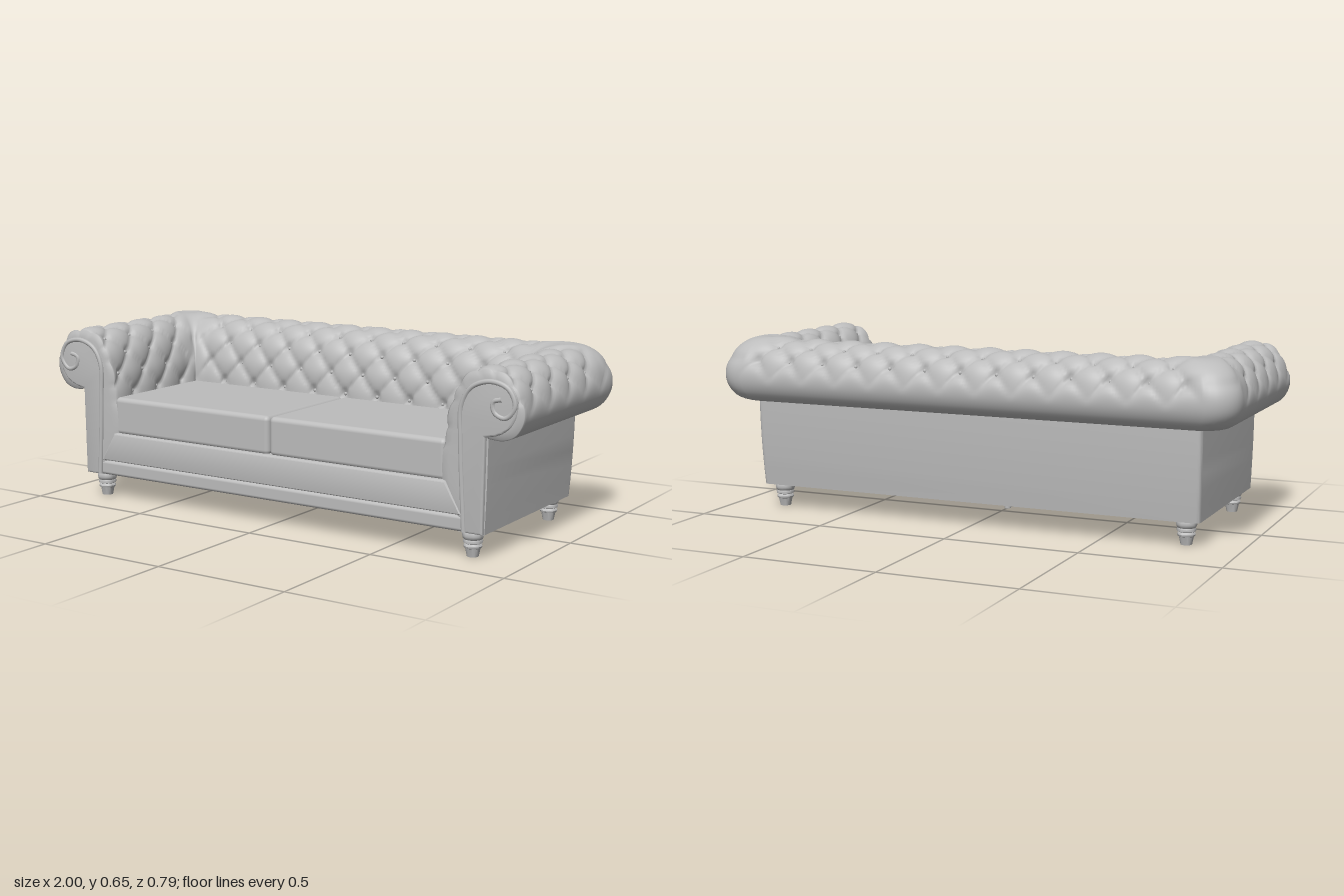
import * as THREE from 'three';
import { mergeGeometries, toCreasedNormals } from 'three/addons/utils/BufferGeometryUtils.js';
import { RoundedBoxGeometry } from 'three/addons/geometries/RoundedBoxGeometry.js';

const INNER_X = 0.7, INNER_Z = -0.1, FRONT_Z = 0.372; // inside edges of the U-shaped upholstery
const STEP = 0.07, ROW = 0.08; // tufting lattice
const { smoothstep, lerp } = THREE.MathUtils;

// Cross-section of arm and back: x = distance outward, y = height
const profile = new THREE.CatmullRomCurve3([
  [0.06, 0.14], [0.0, 0.25], [0.0, 0.40], [0.015, 0.5], [0.05, 0.59], [0.1, 0.64], [0.16, 0.655],
  [0.22, 0.645], [0.27, 0.605], [0.298, 0.54], [0.294, 0.475], [0.265, 0.43], [0.22, 0.412], [0.165, 0.415],
].map(([d, y]) => new THREE.Vector3(d, y, 0)), false, 'centripetal');
const LENGTH = profile.getLength(), START = 0.285;

// Depth of the quilting at lattice coordinates s (along) and t (across)
function tuftDip(s, t) {
  const a = (s + t) / 2, b = (s - t) / 2;
  const sa = Math.abs(Math.sin(Math.PI * a)), sb = Math.abs(Math.sin(Math.PI * b));
  const da = a - Math.round(a), db = b - Math.round(b);
  const fade = smoothstep(t, -1, 0) * (1 - smoothstep(t, 6, 7.2));
  return fade * (0.004 + 0.016 * (1 - Math.sqrt(sa * sb)) + 0.012 * Math.exp(-(da * da + db * db) * 50));
}

// Point on the U-shaped plan, for segment 0..4 (arm, corner, back, corner, arm)
function plan(seg, f, d) {
  const r = Math.max(0, d) / 3, cx = INNER_X + d - r, cz = INNER_Z - d + r;
  if (seg > 2) {
    const p = plan(4 - seg, 1 - f, d);
    return { ...p, x: -p.x };
  }
  if (seg === 0) {
    const z = lerp(FRONT_Z, cz, f);
    return { x: INNER_X + d, z, s: (0.26 - z) / STEP, gap: z - cz };
  }
  if (seg === 1) {
    const a = f * Math.PI / 2;
    return { x: cx + r * Math.cos(a), z: cz - r * Math.sin(a), s: 0, gap: 0 };
  }
  const x = lerp(cx, -cx, f);
  return { x, z: INNER_Z - d, s: x / STEP, gap: cx - Math.abs(x) };
}

function tuftedUpholstery() {
  const rows = [];
  const caps = [[0.95, 0.012], [0.6, 0.012], [0.25, 0.01], [0.1, 0.006], [0.03, 0]];
  caps.forEach(([k, dz]) => rows.push({ seg: 0, f: 0, k, dz }));
  [52, 8, 190, 8, 52].forEach((n, seg) => {
    for (let i = seg ? 1 : 0; i <= n; i++) rows.push({ seg, f: i / n, k: 0, dz: 0 });
  });
  [...caps].reverse().forEach(([k, dz]) => rows.push({ seg: 4, f: 1, k, dz }));

  const N = 84, pos = [], index = [];
  const section = Array.from({ length: N + 1 }, (_, j) => {
    const p = profile.getPointAt(j / N), q = profile.getTangentAt(j / N);
    return { d: p.x, y: p.y, nd: -q.y, ny: q.x, t: (j / N * LENGTH - START) / ROW };
  });
  rows.forEach(({ seg, f, k, dz }, i) => section.forEach(({ d, y, nd, ny, t }, j) => {
    const g = plan(seg, f, d);
    const dip = tuftDip(g.s, t) * lerp(0.15, 1, smoothstep(g.gap, 0, 0.07));
    let dd = d - nd * dip, yy = y - ny * dip;
    // the front ends close in towards a spine
    dd = lerp(dd, d < 0.1 ? 0.13 : 0.2, k);
    yy = lerp(yy, d < 0.1 ? Math.min(y, 0.53) : 0.53, k);
    const p = plan(seg, f, dd);
    pos.push(p.x, yy, p.z + dz);
    if (i < rows.length - 1 && j < N) {
      const a = i * (N + 1) + j, c = a + N + 1;
      index.push(a, a + 1, c, a + 1, c + 1, c);
    }
  }));
  const geo = new THREE.BufferGeometry();
  geo.setAttribute('position', new THREE.Float32BufferAttribute(pos, 3));
  geo.setIndex(index);
  geo.computeVertexNormals();
  return geo;
}

// Buttons in the hollows of the tufting
function tuftButtons() {
  const list = [];
  const ball = (x, y, z) => list.push(new THREE.SphereGeometry(0.007, 8, 6).translate(x, y, z));
  for (let t = 0; t <= 6; t++) {
    const u = (START + t * ROW) / LENGTH;
    const p = profile.getPointAt(u), q = profile.getTangentAt(u);
    const d = p.x + q.y * 0.028, y = p.y - q.x * 0.028;
    for (let s = -14; s <= 14; s++) {
      if ((s + t) % 2) continue;
      if (Math.abs(s * STEP) < INNER_X + d * 0.67 - 0.05) ball(s * STEP, y, INNER_Z - d);
      const z = 0.26 - s * STEP;
      if (z < 0.35 && z > INNER_Z - d * 0.67 + 0.05)
        for (const side of [-1, 1]) ball(side * (INNER_X + d), y, z);
    }
  }
  return mergeGeometries(list);
}

// Outer walls: a U in plan, narrowing slightly towards the floor
function outerShell() {
  const shape = new THREE.Shape();
  const r = 0.02, X = 0.868, B = 0.316;
  shape.moveTo(-X, -0.37);
  shape.lineTo(-0.76, -0.37);
  shape.lineTo(-0.76, 0.16);
  shape.lineTo(0.76, 0.16);
  shape.lineTo(0.76, -0.37);
  shape.lineTo(X, -0.37);
  shape.lineTo(X, B - r);
  shape.quadraticCurveTo(X, B, X - r, B);
  shape.lineTo(-X + r, B);
  shape.quadraticCurveTo(-X, B, -X, B - r);
  const geo = new THREE.ExtrudeGeometry(shape, { depth: 0.34, steps: 6, bevelEnabled: false, curveSegments: 5 });
  geo.rotateX(-Math.PI / 2).translate(0, 0.09, 0);
  const p = geo.attributes.position;
  for (let i = 0; i < p.count; i++) {
    const k = ((0.43 - p.getY(i)) / 0.34) ** 2;
    if (p.getZ(i) < -0.25) p.setZ(i, p.getZ(i) + 0.018 * k);
    if (Math.abs(p.getX(i)) > 0.8) p.setX(i, p.getX(i) - Math.sign(p.getX(i)) * 0.008 * k);
  }
  return toCreasedNormals(geo, 0.6);
}

// Cane-shaped facing on the front of the arm
function armFacing() {
  const s = new THREE.Shape();
  s.moveTo(0.792, 0.092);
  s.lineTo(0.858, 0.092);
  s.lineTo(0.862, 0.42);
  s.bezierCurveTo(0.9, 0.425, 0.975, 0.44, 0.978, 0.53);
  s.bezierCurveTo(0.975, 0.6, 0.92, 0.612, 0.88, 0.61);
  s.bezierCurveTo(0.8, 0.605, 0.765, 0.55, 0.77, 0.45);
  s.lineTo(0.792, 0.092);
  const geo = new THREE.ExtrudeGeometry(s, {
    depth: 0.02, bevelThickness: 0.007, bevelSize: 0.007, bevelOffset: -0.007, bevelSegments: 3, curveSegments: 14,
  });
  return toCreasedNormals(geo.translate(0, 0, 0.36), 0.6);
}

function scrollPiping() {
  const pts = [[0.79, 0.095], [0.774, 0.4], [0.775, 0.52], [0.81, 0.58], [0.88, 0.605], [0.945, 0.585],
    [0.968, 0.53], [0.935, 0.49], [0.895, 0.505], [0.89, 0.54], [0.92, 0.55]];
  const path = new THREE.CatmullRomCurve3(pts.map(([x, y]) => new THREE.Vector3(x, y, 0.384)));
  return new THREE.TubeGeometry(path, 80, 0.009, 8);
}

function turnedLeg() {
  const pts = [[0, 0.003], [0.02, 0.003], [0.026, 0.032], [0.03, 0.034], [0.032, 0.04], [0.029, 0.046], [0.027, 0.048],
    [0.033, 0.051], [0.034, 0.057], [0.031, 0.063], [0.034, 0.066], [0.037, 0.075], [0.036, 0.085], [0.033, 0.092]];
  return toCreasedNormals(new THREE.LatheGeometry(pts.map(([x, y]) => new THREE.Vector2(x, y)), 24), 0.7);
}

export function createModel() {
  const group = new THREE.Group();
  const leather = new THREE.MeshStandardMaterial({ color: 0xbcbcbc });
  leather.name = 'grey upholstery';
  const add = (name, geo, x = 0, y = 0, z = 0) => {
    const mesh = new THREE.Mesh(geo, leather);
    mesh.name = name;
    mesh.position.set(x, y, z);
    group.add(mesh);
    return mesh;
  };

  add('tuftedArmsAndBack', tuftedUpholstery());
  add('tuftButtons', tuftButtons());
  add('outerShell', outerShell());

  // Base and front rails
  add('seatBase', new THREE.BoxGeometry(1.6, 0.16, 0.6), 0, 0.175, 0.06);
  add('lowerRail', new RoundedBoxGeometry(1.6, 0.055, 0.06, 3, 0.012), 0, 0.1195, 0.353);
  const rail = new THREE.Shape([[-0.775, 0.152], [0.775, 0.152], [0.715, 0.254], [-0.715, 0.254]]
    .map(([x, y]) => new THREE.Vector2(x, y)));
  const railGeo = new THREE.ExtrudeGeometry(rail, {
    depth: 0.05, bevelThickness: 0.016, bevelSize: 0.008, bevelOffset: -0.002, bevelSegments: 4,
  });
  add('upperRail', toCreasedNormals(railGeo, 0.6), 0, 0, 0.32);

  // Seat cushions
  const cushion = new RoundedBoxGeometry(0.714, 0.142, 0.495, 4, 0.018);
  for (const side of [-1, 1]) add('seatCushion', cushion, side * 0.3585 - 0.004, 0.325, 0.1275);

  // Arm fronts, mirrored by turning the finished facing about its own depth
  const facing = armFacing(), piping = scrollPiping();
  for (const side of [-1, 1]) {
    add('armFacing', facing).scale.x = side;
    add('scrollPiping', piping).scale.x = side;
  }

  // Feet
  const leg = turnedLeg();
  for (const x of [-0.8, 0.8]) for (const z of [0.335, -0.245]) add('turnedLeg', leg, x, 0, z);
  add('centreLeg', new THREE.CylinderGeometry(0.016, 0.012, 0.1, 16), 0, 0.05, 0.055);
  return group;
}
